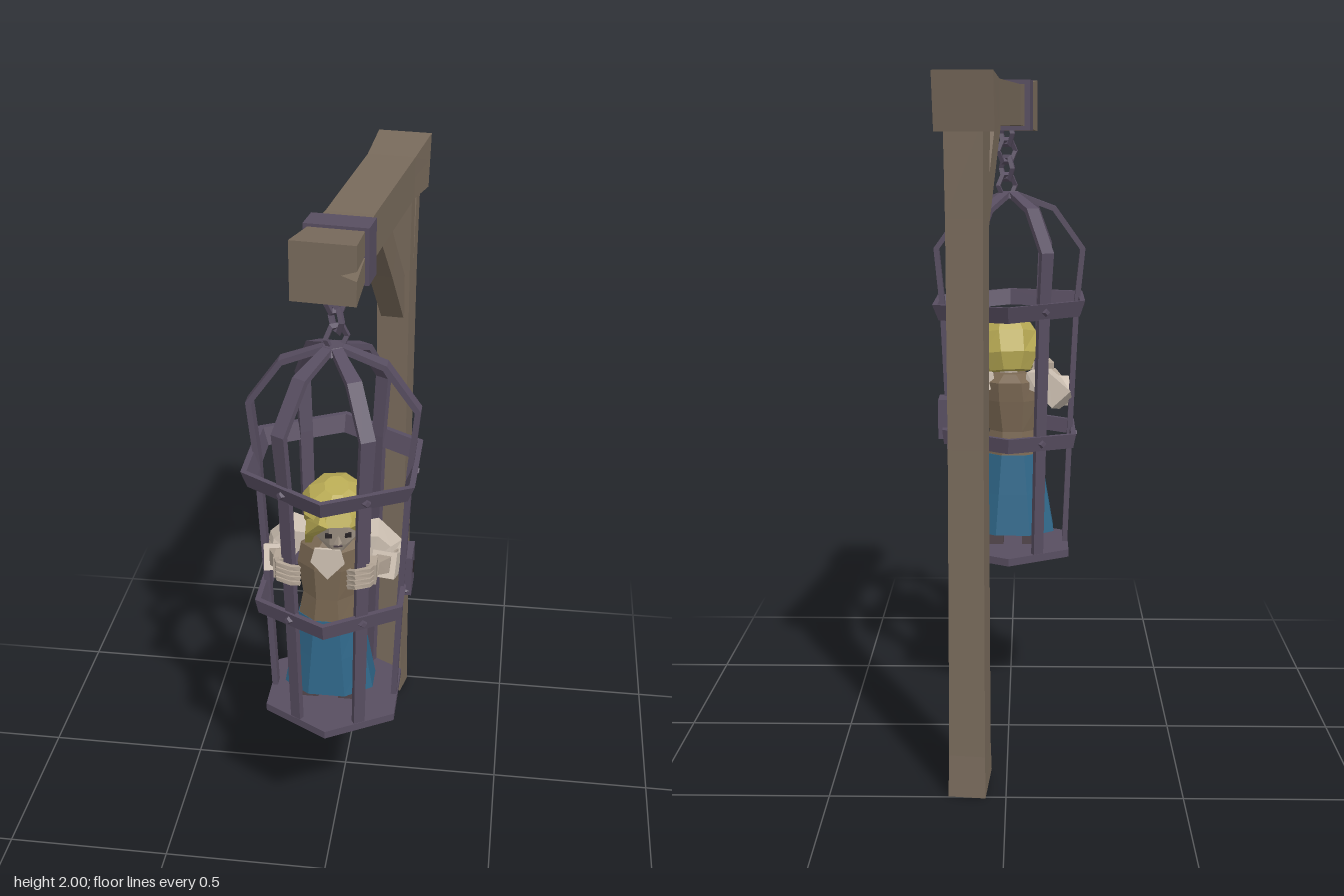
import * as THREE from 'three';

const mat = (name, color) => Object.assign(new THREE.MeshStandardMaterial({ color }), { name });
const V = (x, y, z) => new THREE.Vector3(x, y, z);

// Flat-shaded skin over equal cross-sections, listed counter-clockwise about the direction of travel
function loft(sections) {
  const pos = [], tri = (...p) => p.forEach(q => pos.push(q.x, q.y, q.z));
  const n = sections[0].length;
  const mid = s => s.reduce((a, p) => a.add(p), V(0, 0, 0)).divideScalar(n);
  const first = sections[0], last = sections[sections.length - 1];
  const c0 = mid(first), c1 = mid(last);
  for (let i = 0; i < n; i++) {
    const j = (i + 1) % n;
    for (let k = 0; k < sections.length - 1; k++) {
      const a = sections[k], b = sections[k + 1];
      tri(a[i], a[j], b[j]);
      tri(a[i], b[j], b[i]);
    }
    tri(c0, first[j], first[i]);
    tri(c1, last[i], last[j]);
  }
  const g = new THREE.BufferGeometry();
  g.setAttribute('position', new THREE.Float32BufferAttribute(pos, 3));
  g.computeVertexNormals();
  return g;
}

// Rectangular bar along a path; w is the size along "side", t the other size (number or one per point)
function bar(pts, side, w, t) {
  const at = (s, i) => Array.isArray(s) ? s[i] : s;
  return loft(pts.map((p, i) => {
    const T = pts[Math.min(i + 1, pts.length - 1)].clone().sub(pts[Math.max(i - 1, 0)]).normalize();
    const v = T.clone().cross(side).normalize(), u = v.clone().cross(T);
    return [[1, 1], [-1, 1], [-1, -1], [1, -1]].map(([a, b]) =>
      p.clone().addScaledVector(u, a * at(w, i) / 2).addScaledVector(v, b * at(t, i) / 2));
  }));
}

// Upright eight-sided body from rows of [y, rx, rz, cx, cz]
const body = rows => loft(rows.map(([y, rx, rz, cx = 0, cz = 0]) =>
  Array.from({ length: 8 }, (_, i) => {
    const a = (i + 0.5) * Math.PI / 4;
    return V(cx + rx * Math.sin(a), y, cz + rz * Math.cos(a));
  })));

function flat(g) {
  const f = g.index ? g.toNonIndexed() : g;
  f.computeVertexNormals();
  return f;
}

function add(parent, name, geo, material, x = 0, y = 0, z = 0) {
  const m = new THREE.Mesh(flat(geo), material);
  m.name = name;
  m.position.set(x, y, z);
  parent.add(m);
  return m;
}

function group(parent, name, x = 0, y = 0, z = 0) {
  const g = new THREE.Group();
  g.name = name;
  g.position.set(x, y, z);
  parent.add(g);
  return g;
}

export function createModel() {
  const wood = mat('wood', 0x786a5b), iron = mat('iron', 0x584e61), blond = mat('hair', 0xb8aa54);
  const skin = mat('skin', 0xb3a596), linen = mat('linen', 0xcfc2b4), brown = mat('bodice', 0x7a6853);
  const blue = mat('skirt', 0x30688a), leather = mat('shoe leather', 0x51454b), dark = mat('dark', 0x2a2528);
  const box = (...s) => new THREE.BoxGeometry(...s);
  const model = new THREE.Group();
  model.name = 'hangingCage';
  const yaw = -0.113;

  // Gallows: beam with a split front end, post with a split top, diagonal brace
  const gallows = group(model, 'gallows');
  const beam = add(gallows, 'beam', loft([
    // z, half width, half height, split gap, split depth, lean of the end
    [-0.48, 0.08, 0.077, 0, 0, -0.014], [-0.3, 0.07, 0.061, 0, 0, 0], [0.2, 0.066, 0.06, 0, 0, 0],
    [0.33, 0.073, 0.066, 0.001, 0.001, 0], [0.485, 0.086, 0.079, 0.013, 0.04, 0]
  ].map(([z, w, h, gap, depth, lean]) => [
    V(w, h, z + lean), V(-w, h, z + lean), V(-w, -h, z - lean), V(w, -h, z - lean),
    V(w, -gap, z), V(w - depth, 0, z), V(w, gap, z)])), wood, 0.055, 1.92, -0.045);
  beam.rotation.y = yaw;

  const post = add(gallows, 'post', loft([
    [0.015, 0.053, 0.063, 0, 0, 0.016], [0.12, 0.051, 0.056, 0, 0, 0], [1.0, 0.049, 0.05, 0, 0, 0],
    [1.62, 0.05, 0.056, 0, 0, 0], [1.88, 0.053, 0.062, 0.013, 0.035, 0]
  ].map(([y, w, d, gap, depth, lean]) => [
    V(-w, y + lean, d), V(w, y + lean, d), V(w, y, gap), V(w - depth, y, 0), V(w, y, -gap),
    V(w, y - lean, -d), V(-w, y - lean, -d)])), wood, 0.103, 0, -0.44);
  post.rotation.y = yaw;

  add(gallows, 'brace', bar([V(0.062, 1.887, -0.053), V(0.08, 1.7, -0.232), V(0.1, 1.503, -0.41)],
    V(1, 0, 0.1), 0.07, [0.1, 0.092, 0.1]), wood);

  // Iron strap round the beam, and the chain
  const strap = add(gallows, 'beamStrap', box(0.172, 0.152, 0.082), iron, 0.02, 1.92, 0.262);
  strap.rotation.y = yaw;
  const chain = group(model, 'chain', 0.01, 0, 0.262);
  for (let i = 0; i < 4; i++) {
    const link = add(chain, 'chainLink', new THREE.TorusGeometry(0.032, 0.0095, 4, 6), iron, 0, 1.835 - i * 0.053, 0);
    link.rotation.y = i % 2 ? 0.6 : 0.6 + Math.PI / 2;
    link.scale.y = 1.15;
  }

  // Cage: six-sided floor, six bent bars, two flat hoops with rivets
  const cage = group(model, 'cage', 0.002, 0, 0.268);
  add(cage, 'cageFloor', new THREE.CylinderGeometry(0.22, 0.22, 0.024, 6), iron, 0, 0.518, 0);
  add(cage, 'cageCrown', new THREE.CylinderGeometry(0.03, 0.045, 0.02, 6), iron, 0, 1.648, 0);
  const profile = [[0.18, 0.52], [0.194, 0.9], [0.212, 1.3], [0.23, 1.48], [0.14, 1.605], [0.02, 1.65]]
    .map(([r, y]) => V(r, y, 0));
  const hoop = (name, y, low, high, h, tilt) => {
    const t = 0.018, g = group(cage, name, 0, y, 0);
    add(g, name + 'Band', new THREE.LatheGeometry([[low - t, -h], [low, -h], [high, h], [high - t, h], [low - t, -h]]
      .map(p => new THREE.Vector2(...p)), 6), iron);
    for (let i = 0; i < 6; i++) {
      const spin = group(g, 'rivetArm');
      spin.rotation.y = i * Math.PI / 3;
      const rivet = add(spin, 'rivet', new THREE.CylinderGeometry(0.009, 0.015, 0.012, 4), iron, (low + high) * 0.433 + 0.004, 0, 0);
      rivet.rotation.z = -Math.PI / 2;
    }
    g.rotation.z = tilt;
  };
  for (let i = 0; i < 6; i++) {
    add(cage, 'cageBar', bar(profile, V(0, 0, 1), [0.034, 0.036, 0.038, 0.042, 0.042, 0.03], 0.017), iron)
      .rotation.y = i * Math.PI / 3;
  }
  hoop('upperHoop', 1.3, 0.252, 0.272, 0.025, -0.03);
  hoop('middleHoop', 0.893, 0.235, 0.243, 0.023, 0.03);
  add(cage, 'lock', box(0.032, 0.125, 0.095), iron, 0.208, 0.948, -0.04);
  add(cage, 'keyhole', box(0.004, 0.035, 0.014), dark, 0.225, 0.955, -0.04);

  // Prisoner: dress and shoes
  const figure = group(model, 'prisoner');
  add(figure, 'skirt', body([[0.57, 0.142, 0.105, -0.01, 0.27], [0.7, 0.118, 0.092, -0.01, 0.275],
    [0.825, 0.095, 0.079, -0.01, 0.28]]), blue);
  add(figure, 'bodice', body([[0.82, 0.094, 0.078, -0.01, 0.28], [0.9, 0.08, 0.072, -0.008, 0.285],
    [1.0, 0.1, 0.08, -0.005, 0.28], [1.06, 0.095, 0.08, 0, 0.275], [1.085, 0.05, 0.05, 0, 0.275]]), brown);
  const vee = new THREE.Shape([[0, 0], [0.048, 0.055], [0.036, 0.1], [-0.036, 0.1], [-0.048, 0.055]]
    .map(p => new THREE.Vector2(...p)));
  add(figure, 'shirtFront', new THREE.ExtrudeGeometry(vee, { depth: 0.008, bevelEnabled: false }), linen, -0.005, 0.975, 0.351);
  add(figure, 'neck', new THREE.CylinderGeometry(0.028, 0.034, 0.07, 6), skin, 0.005, 1.1, 0.285);

  // Shoes, arms and gripping hands, one per side
  for (const s of [-1, 1]) {
    add(figure, 'shoe', box(0.05, 0.05, 0.11), leather, s * 0.055 - 0.01, 0.552, 0.27);
    add(figure, 'sleeve', bar([V(s * 0.06, 1.065, 0.265), V(s * 0.11, 1.06, 0.25), V(s * 0.15, 1.02, 0.255), V(s * 0.165, 1.0, 0.285)],
      V(0, 0, 1), [0.07, 0.095, 0.095, 0.06], [0.05, 0.075, 0.08, 0.05]), linen);
    add(figure, 'forearm', bar([V(s * 0.16, 1.005, 0.265), V(s * 0.15, 1.035, 0.35), V(s * 0.13, 1.06, 0.41)],
      V(0, 1, 0), [0.055, 0.045, 0.035], [0.05, 0.04, 0.032]), skin);
    add(figure, 'cuff', bar([V(s * 0.163, 1.0, 0.28), V(s * 0.152, 1.03, 0.345)], V(0, 1, 0), [0.062, 0.075], [0.06, 0.07]), linen);
    add(figure, 'palm', box(0.028, 0.062, 0.05), skin, s * 0.128, 1.062, 0.425);
    for (let i = 0; i < 4; i++) {
      const y = 1.038 + i * 0.016;
      add(figure, 'finger', bar([V(s * 0.135, y, 0.435), V(s * 0.125, y + 0.006, 0.47), V(s * 0.09, y, 0.478), V(s * 0.068, y - 0.012, 0.46)],
        V(0, 1, 0), 0.012, 0.013), skin);
    }
  }

  // Bowed head with bobbed hair
  const head = group(figure, 'head', 0.015, 1.165, 0.31);
  head.rotation.set(0.25, 0.2, 0, 'YXZ');
  add(head, 'face', body([[-0.088, 0.028, 0.03, 0, 0.035], [-0.05, 0.06, 0.062, 0, 0.015],
    [0.04, 0.072, 0.072, 0, 0.015], [0.07, 0.05, 0.05]]), skin);
  add(head, 'hair', body([[-0.085, 0.07, 0.055, 0, -0.045], [-0.03, 0.097, 0.078, 0, -0.045],
    [0.04, 0.1, 0.108, 0, -0.005], [0.072, 0.08, 0.085, 0, -0.01], [0.094, 0.035, 0.04, 0, -0.015]]), blond);
  add(head, 'nose', new THREE.ConeGeometry(0.011, 0.032, 4), skin, 0, -0.024, 0.076);
  add(head, 'mouth', box(0.024, 0.005, 0.006), leather, 0, -0.056, 0.071);
  for (const s of [-1, 1]) {
    add(head, 'eye', box(0.018, 0.016, 0.006), dark, s * 0.027, -0.008, 0.0765);
    add(head, 'sideLock', bar([V(s * 0.04, 0.055, 0.085), V(s * 0.076, 0.0, 0.052), V(s * 0.08, -0.07, 0.025)],
      V(0, 0, 1), [0.03, 0.045, 0.025], [0.03, 0.026, 0.018]), blond);
  }
  return model;
}
